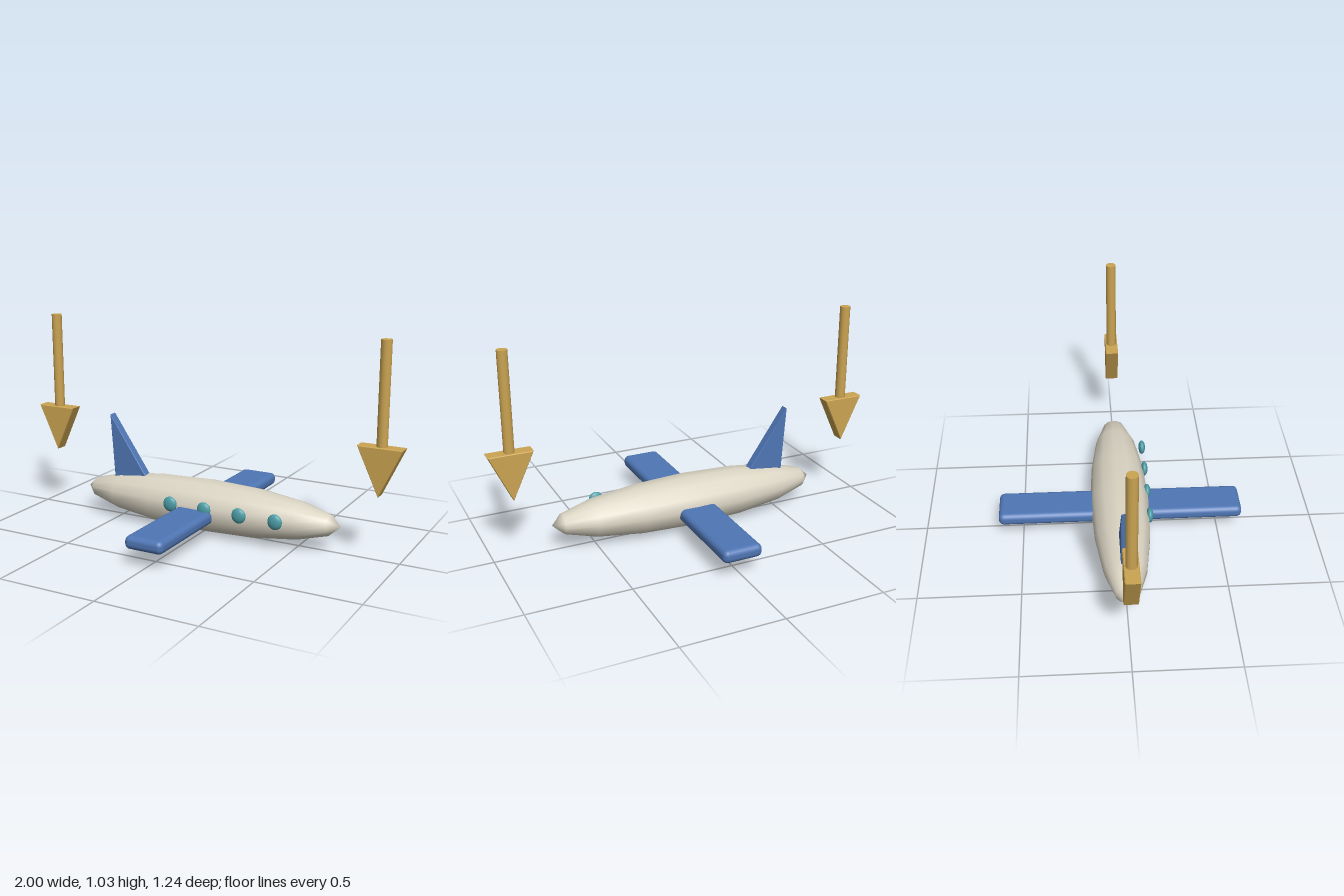
import * as THREE from 'three';
import { RoundedBoxGeometry } from 'three/addons/geometries/RoundedBoxGeometry.js';

function paint(name, color) {
  const m = new THREE.MeshStandardMaterial({ color });
  m.name = name;
  return m;
}

// Flat outline, given as [x, y] corners, thickened along z with a fine bevel
function plate(points, thickness, bevel) {
  const shape = new THREE.Shape(points.map(([x, y]) => new THREE.Vector2(x, y)));
  const geo = new THREE.ExtrudeGeometry(shape, {
    depth: thickness - 2 * bevel,
    bevelEnabled: true,
    bevelSize: bevel,
    bevelOffset: -bevel,
    bevelThickness: bevel,
    bevelSegments: 1,
  });
  return geo.translate(0, 0, -thickness / 2 + bevel);
}

export function createModel() {
  const group = new THREE.Group();
  const cream = paint('cream', 0xdad4c3);
  const blue = paint('blue', 0x4f76b4);
  const teal = paint('teal', 0x4c9ca6);
  const gold = paint('gold', 0xcba452);

  const add = (name, geo, mat, x = 0, y = 0, z = 0, parent = group) => {
    const mesh = new THREE.Mesh(geo, mat);
    mesh.name = name;
    mesh.position.set(x, y, z);
    parent.add(mesh);
    return mesh;
  };

  // Fuselage: coarse stretched ball with its poles at nose and tail
  const body = new THREE.SphereGeometry(1, 13, 8);
  body.rotateY(-Math.PI / 2).rotateZ(Math.PI / 2).scale(0.71, 0.13, 0.15);
  add('fuselage', body, cream, 0, 0.13, 0);

  // Wings: one soft-edged slab running through the fuselage
  add('wings', new RoundedBoxGeometry(0.2, 0.065, 1.24, 3, 0.027), blue, 0, 0.115, 0);

  // Tail fin, rooted inside the fuselage
  const fin = plate([[-0.531, 0.16], [-0.297, 0.16], [-0.556, 0.537]], 0.048, 0.004);
  add('tailFin', fin, blue);

  // Row of domed windows on the front side
  const dome = new THREE.SphereGeometry(1, 16, 12).scale(0.037, 0.038, 0.018);
  for (let i = 0; i < 4; i++) {
    add('window' + (i + 1), dome, teal, -0.132 + i * 0.189, 0.154, 0.144);
  }

  // Downward arrows beside nose and tail
  const head = plate([[-0.108, 0.545], [0, 0.312], [0.108, 0.545]], 0.068, 0.004);
  const shaft = new THREE.CylinderGeometry(0.026, 0.026, 0.5, 12);
  for (const side of [-1, 1]) {
    const arrow = new THREE.Group();
    arrow.name = side > 0 ? 'leftArrow' : 'rightArrow';
    arrow.position.x = side * 0.892;
    add('arrowHead', head, gold, 0, 0, 0, arrow);
    add('arrowShaft', shaft, gold, 0, 0.782, 0, arrow);
    group.add(arrow);
  }

  return group;
}
